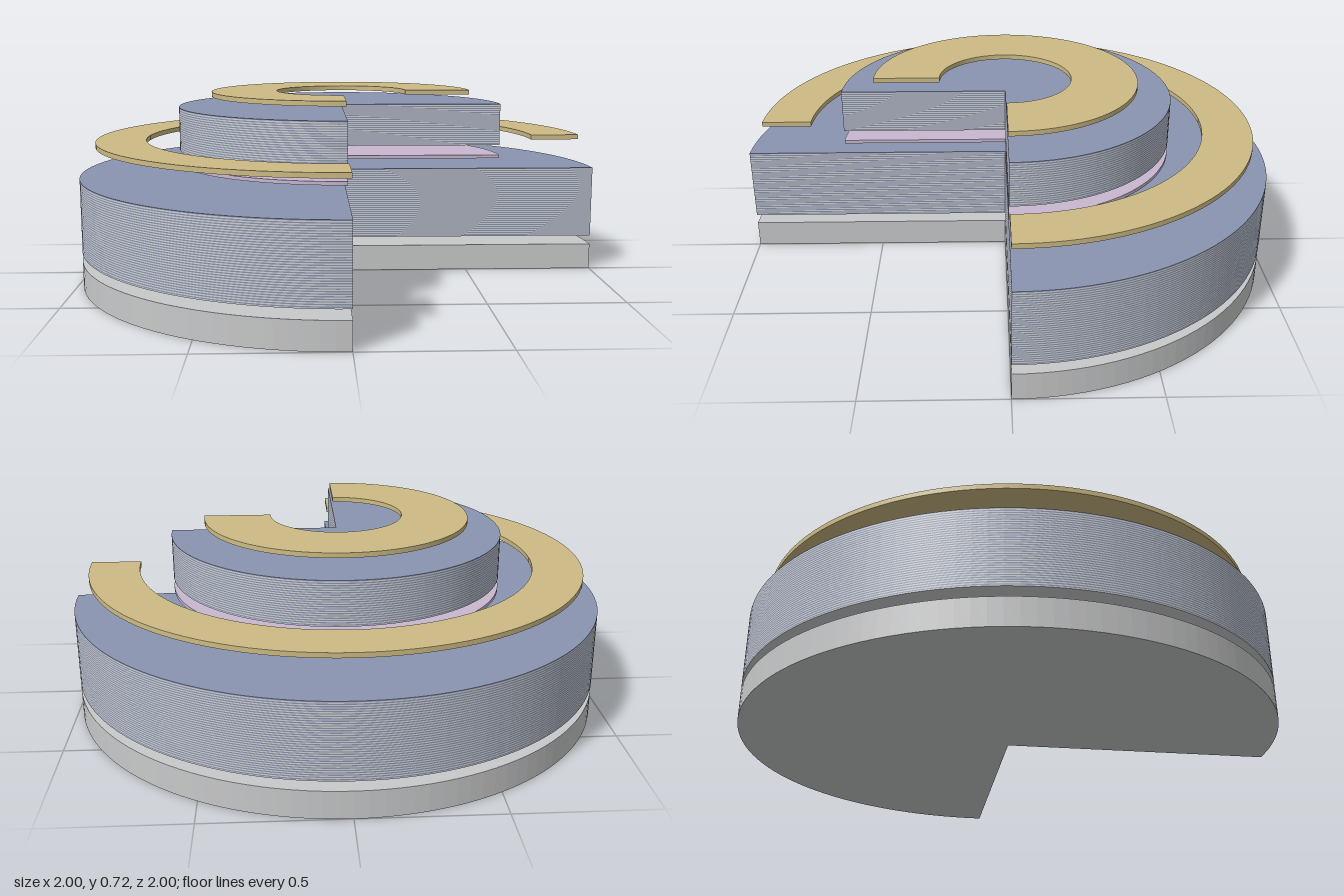
import * as THREE from 'three';
import { mergeGeometries } from 'three/addons/utils/BufferGeometryUtils.js';

const SWEEP = Math.PI * 1.5; // three quarters; the +x +z quarter is cut away
const SEGMENTS = 48;

// Three-quarter disc or ring between heights y0 and y1
function sector(outer, inner, y0, y1) {
  const shape = new THREE.Shape();
  shape.moveTo(outer, 0);
  shape.absarc(0, 0, outer, 0, SWEEP, false);
  if (inner > 0) {
    shape.lineTo(0, -inner);
    shape.absarc(0, 0, inner, SWEEP, 0, true);
  } else {
    shape.lineTo(0, 0);
  }
  shape.closePath();
  const geometry = new THREE.ExtrudeGeometry(shape, {
    depth: y1 - y0, bevelEnabled: false, curveSegments: SEGMENTS,
  });
  geometry.rotateX(-Math.PI / 2);
  geometry.translate(0, y0, 0);
  return geometry;
}

function material(name, color) {
  const m = new THREE.MeshStandardMaterial({ color });
  m.name = name;
  return m;
}

export function createModel() {
  const model = new THREE.Group();
  model.name = 'layeredDisc';

  const grey = material('substrate grey', 0xc8c9ca);
  const pale = material('pale layer grey', 0xcfd1d2);
  const blue = material('slate blue', 0x8a94b0);
  const lilac = material('lilac', 0xc8b8d0);
  const gold = material('gold', 0xcdbb84);

  function add(name, geometry, mat, parent = model) {
    const mesh = new THREE.Mesh(geometry, mat);
    mesh.name = name;
    parent.add(mesh);
  }

  // Alternating thin layers: pale at the bottom, blue on top
  function addStack(name, radius, y0, y1, pairs) {
    const stack = new THREE.Group();
    stack.name = name;
    const t = (y1 - y0) / (pairs * 2);
    const layers = [[], []];
    for (let i = 0; i < pairs * 2; i++) {
      layers[i % 2].push(sector(radius, 0, y0 + i * t, y0 + (i + 1) * t));
    }
    add('paleLayers', mergeGeometries(layers[0]), pale, stack);
    add('blueLayers', mergeGeometries(layers[1]), blue, stack);
    model.add(stack);
  }

  // Base and stacks
  add('substrate', sector(1, 0, 0, 0.1), grey);
  addStack('lowerMirrorStack', 1, 0.135, 0.41, 34);
  add('activeLayer', sector(0.625, 0, 0.45, 0.463), lilac);
  addStack('upperMirrorStack', 0.625, 0.502, 0.665, 20);

  // Contact rings
  add('outerContactRing', sector(0.9375, 0.75, 0.524, 0.542), gold);
  add('innerContactRing', sector(0.5, 0.25, 0.702, 0.72), gold);

  return model;
}
